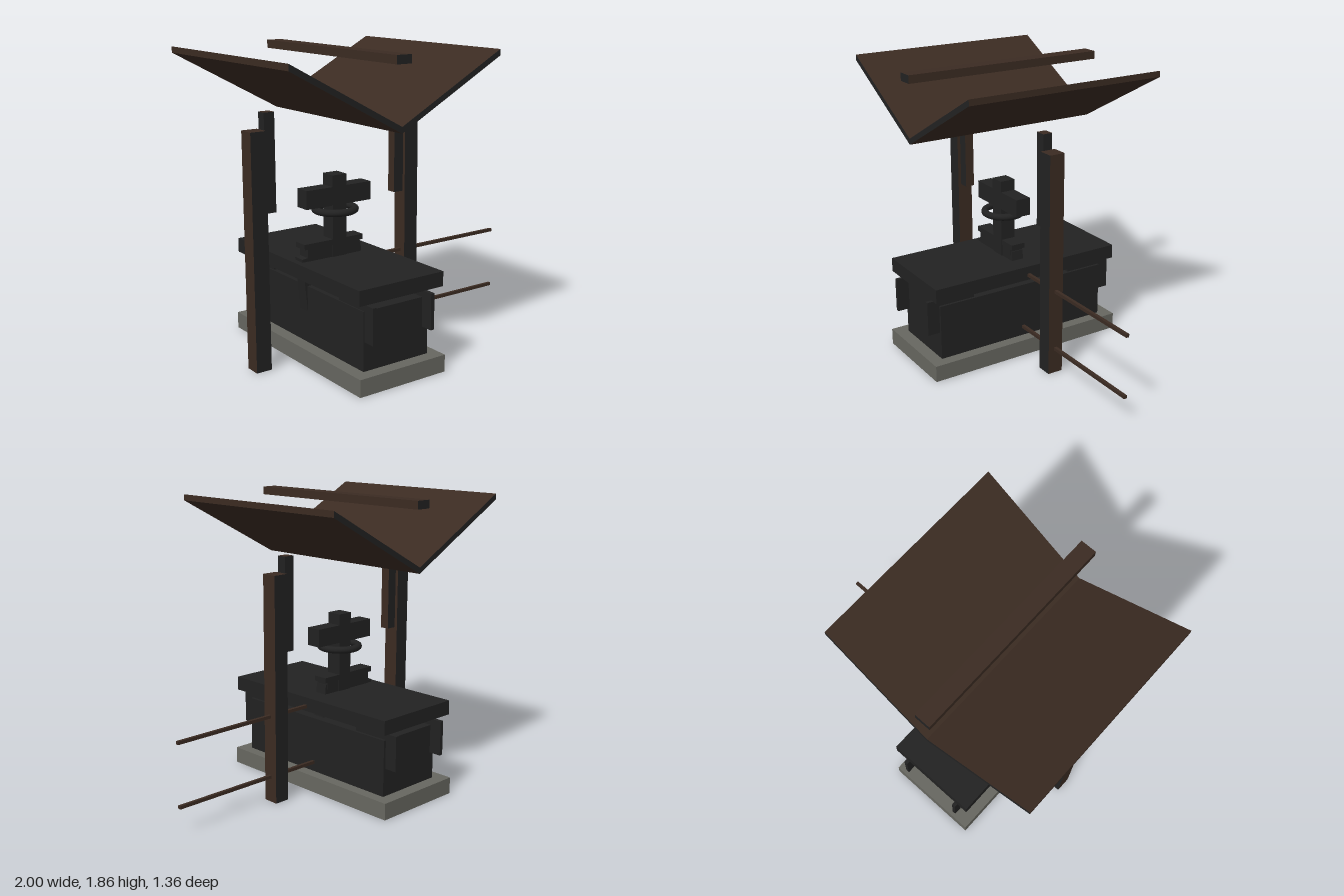
import * as THREE from 'three';

export function createModel() {
  const group = new THREE.Group();
  const mat = (name, color) => {
    const m = new THREE.MeshStandardMaterial({ color });
    m.name = name;
    return m;
  };
  const stone = mat('darkStone', 0x222222);
  const wood = mat('brownWood', 0x3b2b22);
  const grey = mat('greyConcrete', 0x676760);

  const add = (name, geometry, material) => {
    const mesh = new THREE.Mesh(geometry, material);
    mesh.name = name;
    group.add(mesh);
    return mesh;
  };
  // Box given by its limits on each axis
  const box = (name, material, [x0, x1], [y0, y1], [z0, z1]) => {
    const mesh = add(name, new THREE.BoxGeometry(x1 - x0, y1 - y0, z1 - z0), material);
    mesh.position.set((x0 + x1) / 2, (y0 + y1) / 2, (z0 + z1) / 2);
    return mesh;
  };
  const cx = -0.29; // middle line of the tomb and shelter

  // Timber has dark cut faces on its front and back
  const timber = [wood, wood, wood, wood, stone, stone];

  // Tomb
  box('plinth', grey, [-0.6, 0.01], [0, 0.105], [-0.68, 0.68]);
  box('tombBody', stone, [-0.52, -0.06], [0.105, 0.46], [-0.6, 0.6]);
  box('tombLid', stone, [-0.59, 0.005], [0.52, 0.61], [-0.66, 0.66]);

  // Thin corner fins standing out of the body
  for (const x of [-0.5, -0.088]) {
    for (const s of [-1, 1]) {
      box('cornerFin', stone, [x - 0.012, x + 0.012], [0.28, 0.5],
        s > 0 ? [0.355, 0.68] : [-0.68, -0.355]);
    }
  }

  // Cross with a stepped foot and a tilted footing block
  const footing = box('crossFooting', stone, [-0.534, -0.11], [0.3, 0.64], [-0.04, 0.04]);
  footing.position.set(-0.325, 0.48, 0);
  footing.rotation.z = 0.1;
  box('crossFoot', stone, [-0.515, -0.14], [0.6, 0.685], [-0.043, 0.043]);
  box('crossFootCap', stone, [-0.54, -0.12], [0.685, 0.718], [-0.047, 0.047]);
  box('crossShaft', stone, [cx - 0.05, cx + 0.05], [0.6, 1.11], [-0.05, 0.05]);
  box('crossArm', stone, [-0.523, -0.06], [0.927, 1.04], [-0.049, 0.049]);

  // Wreath lying around the shaft
  const wreath = add('wreath', new THREE.TorusGeometry(0.122, 0.022, 10, 32), stone);
  wreath.rotation.x = Math.PI / 2;
  wreath.position.set(cx, 0.893, 0);

  // Posts and their inner braces, mirrored about the middle line
  for (const s of [-1, 1]) {
    const span = (a, b) => [cx + s * a, cx + s * b].sort((p, q) => p - q);
    box('post', timber, span(0.495, 0.595), [0, 1.42], [-0.05, 0.05]);
    const braceFaces = s > 0
      ? [stone, wood, wood, wood, stone, stone]
      : [wood, stone, wood, wood, stone, stone];
    box('brace', braceFaces, span(0.427, 0.495), [0.94, 1.52], [-0.03, 0.03]);
  }

  // Side rails
  for (const y of [0.165, 0.552]) {
    box('sideRail', wood, [-0.07, 1], [y - 0.01, y + 0.01], [-0.01, 0.01]);
  }

  // V-shaped roof with dark ends
  const outline = [[-1, 1.815], [cx, 1.435], [0.42, 1.815], [0.42, 1.852], [cx, 1.472], [-1, 1.852]];
  const roof = new THREE.ExtrudeGeometry(
    new THREE.Shape(outline.map(([x, y]) => new THREE.Vector2(x, y))),
    { depth: 1.29, bevelEnabled: false });
  roof.translate(0, 0, -0.645);
  add('roof', roof, [stone, wood]);

  // Ridge beam above the roof
  box('ridgeBeam', timber, [cx - 0.05, cx + 0.05], [1.81, 1.86], [-0.66, 0.66]);

  return group;
}
